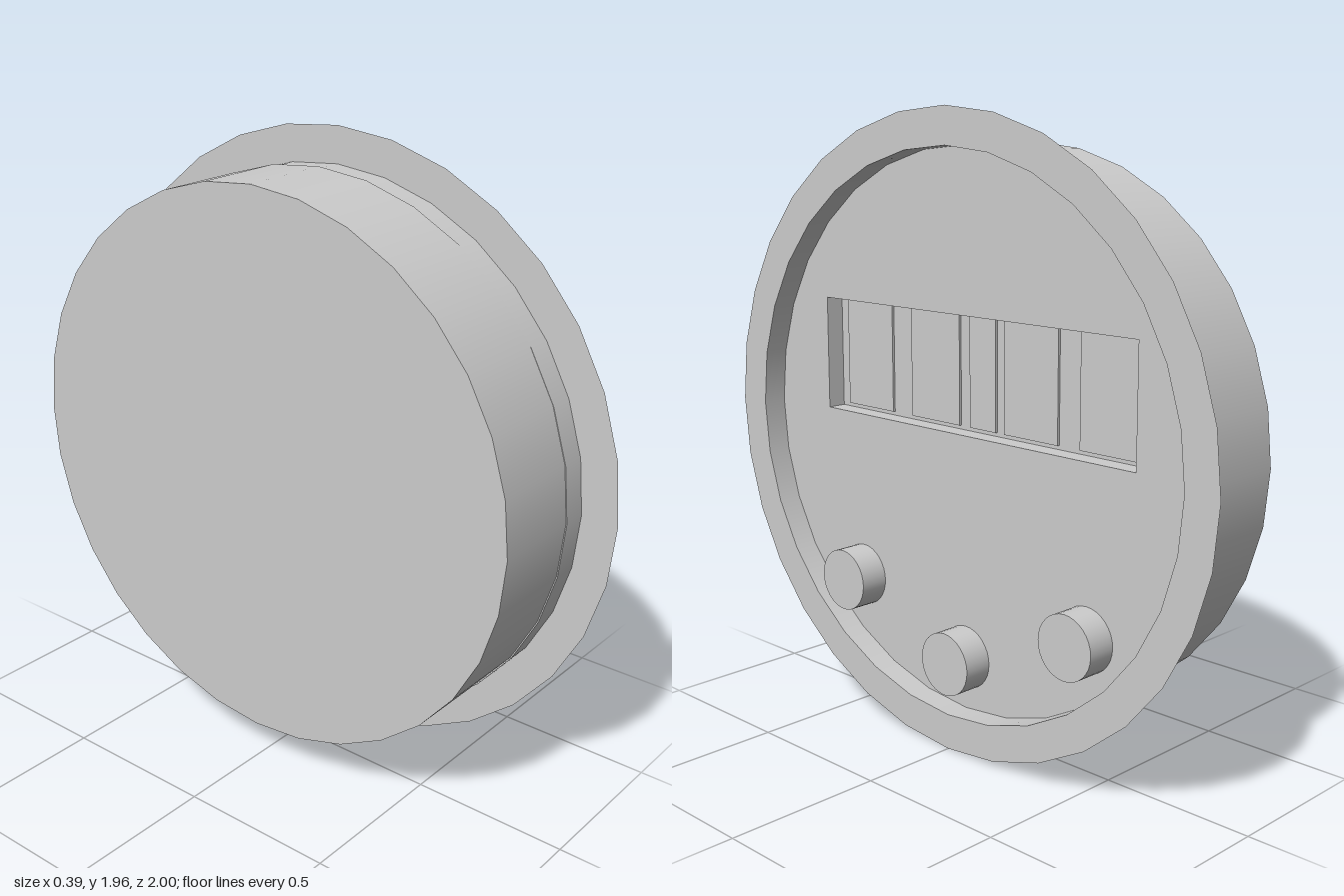
import * as THREE from 'three';

const grey = new THREE.MeshStandardMaterial({ color: 0xcccccc, side: THREE.DoubleSide });
grey.name = 'grey';

const SIDES = 32;
const SQUASH = 0.982; // the case is slightly lower than it is wide
const FACE = 0.1, RIM = 0.18, BACK = -0.2, FLOOR = 0.038;

// Outline of the case as a polygon with a corner at the top
function disc(radius, Kind = THREE.Shape) {
  const points = [];
  for (let i = 0; i < SIDES; i++) {
    const a = (i / SIDES) * Math.PI * 2;
    points.push(new THREE.Vector2(Math.cos(a) * radius, Math.sin(a) * radius * SQUASH));
  }
  return new Kind(points);
}

function rect(x0, x1, y0, y1, Kind = THREE.Shape) {
  return new Kind([[x0, y0], [x1, y0], [x1, y1], [x0, y1]].map((p) => new THREE.Vector2(...p)));
}

// Open or closed drum along z, from z0 to z1
function drum(radius, z0, z1, squash, open) {
  return new THREE.CylinderGeometry(radius, radius, z1 - z0, SIDES, 1, open)
    .rotateX(Math.PI / 2).scale(1, squash, 1).translate(0, 0, (z0 + z1) / 2);
}

export function createModel() {
  const clock = new THREE.Group();
  clock.name = 'clock';
  const add = (name, geometry, x = 0, y = 0, z = 0) => {
    const mesh = new THREE.Mesh(geometry, grey);
    mesh.name = name;
    mesh.position.set(x, y, z);
    clock.add(mesh);
  };

  // Case: side wall, back, and dial with the display opening
  add('caseWall', drum(0.887, BACK, FACE, SQUASH, true), 0.005, 0.003);
  add('caseBack', new THREE.ShapeGeometry(disc(0.887)).rotateY(Math.PI), 0.005, 0.003, BACK);
  const dial = disc(0.885);
  dial.holes.push(rect(-0.64, 0.66, 0.005, 0.37, THREE.Path));
  add('dial', new THREE.ShapeGeometry(dial), 0, 0, FACE);

  // Raised rim with a thin wide flange
  add('rimWall', drum(0.885, FACE, RIM, SQUASH, true));
  const flange = disc(1);
  flange.holes.push(disc(0.885, THREE.Path));
  add('flange', new THREE.ShapeGeometry(flange), 0, 0, RIM);

  // Display recess: four walls and a floor
  const recess = rect(-0.64, 0.66, 0.005, 0.37);
  const corners = recess.getPoints();
  for (let i = 0; i < 4; i++) {
    const a = corners[i], b = corners[(i + 1) % 4];
    const wall = new THREE.PlaneGeometry(a.distanceTo(b), FACE - FLOOR)
      .rotateX(-Math.PI / 2).rotateZ(Math.atan2(b.y - a.y, b.x - a.x));
    add('displayWall', wall, (a.x + b.x) / 2, (a.y + b.y) / 2, (FACE + FLOOR) / 2);
  }
  add('displayFloor', new THREE.ShapeGeometry(recess), 0, 0, FLOOR);

  // Four digit plates with a narrow separator in the middle
  const plates = [[-0.6, -0.385], [-0.295, -0.08], [-0.035, 0.075], [0.11, 0.325], [0.41, 0.625]];
  for (const [x0, x1] of plates) {
    add('digitPlate', new THREE.BoxGeometry(x1 - x0, 0.345, 0.008), (x0 + x1) / 2, 0.19, FLOOR + 0.004);
  }

  // Push buttons
  for (const [x, y] of [[-0.475, -0.535], [0, -0.7], [0.49, -0.518]]) {
    add('button', drum(0.1, FACE, 0.195, 1, false), x, y);
  }

  // Turn the dial towards +x and stand it on the ground
  clock.rotation.y = Math.PI / 2;
  clock.position.y = SQUASH;
  const model = new THREE.Group();
  model.name = 'wallClock';
  model.add(clock);
  return model;
}
